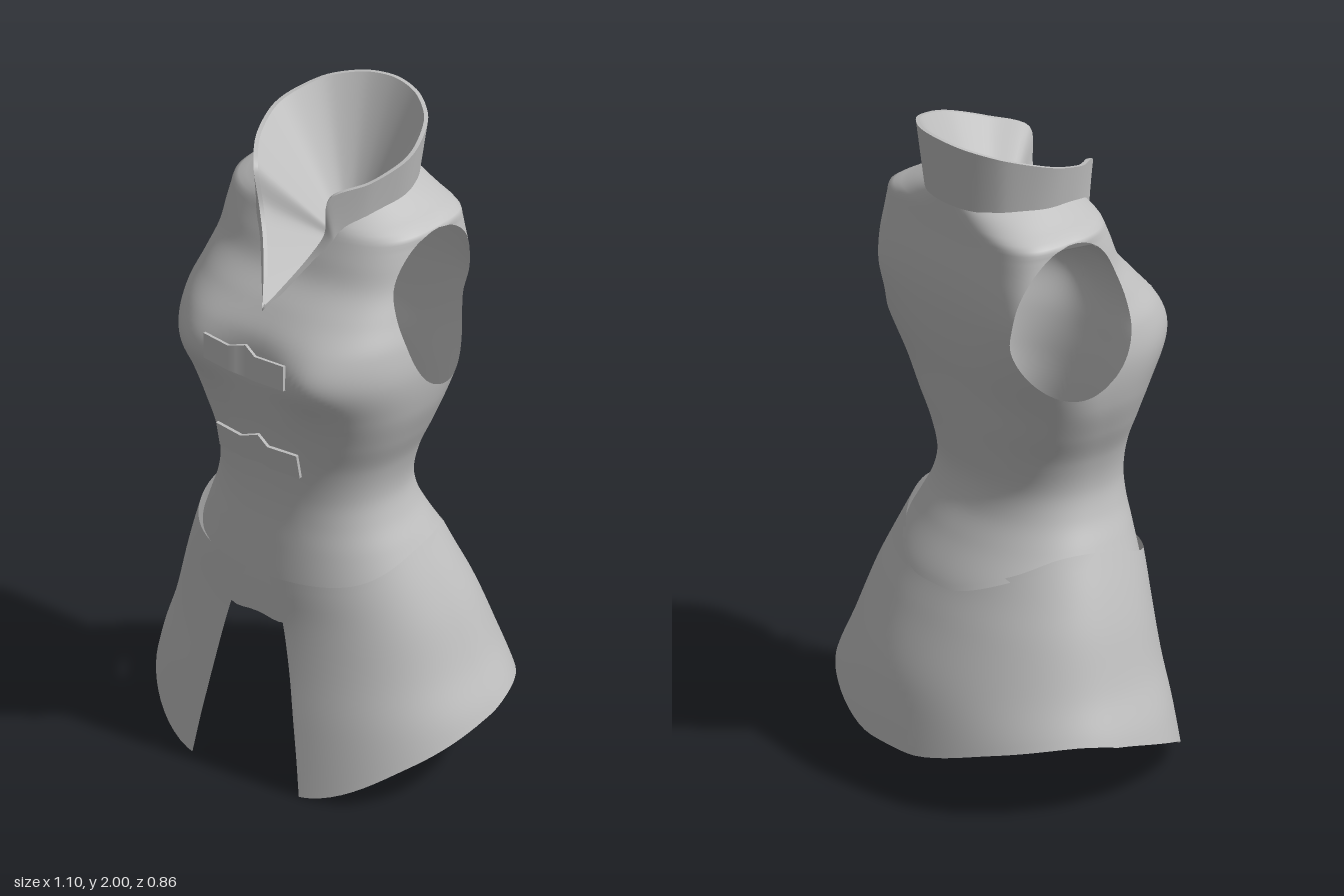
import * as THREE from 'three';
import { mergeVertices, mergeGeometries } from 'three/addons/utils/BufferGeometryUtils.js';

const cloth = new THREE.MeshStandardMaterial({ color: 0xc0c0c0, side: THREE.DoubleSide });
cloth.name = 'grey cloth';

const lerp = THREE.MathUtils.lerp;
const V = (x, y, z) => new THREE.Vector3(x, y, z);

// Smooth lookup in rows [key, value, value...]
function profile(rows, key, col = 1) {
  const last = rows.length - 1;
  if (key <= rows[0][0]) return rows[0][col];
  if (key >= rows[last][0]) return rows[last][col];
  let i = 0;
  while (rows[i + 1][0] < key) i++;
  const slope = (k) => {
    const a = rows[Math.max(k - 1, 0)], b = rows[Math.min(k + 1, last)];
    return (b[col] - a[col]) / (b[0] - a[0]);
  };
  const a = rows[i], b = rows[i + 1], h = b[0] - a[0], t = (key - a[0]) / h;
  const t2 = t * t, t3 = t2 * t;
  return (2 * t3 - 3 * t2 + 1) * a[col] + (t3 - 2 * t2 + t) * h * slope(i)
    + (3 * t2 - 2 * t3) * b[col] + (t3 - t2) * h * slope(i + 1);
}

// Surface point(u, v), trimmed to where keep(point) > 0
function surface(point, nu, nv, keep = () => 1) {
  const out = [];
  const grid = [];
  for (let i = 0; i <= nu; i++) {
    grid.push([]);
    for (let j = 0; j <= nv; j++) grid[i].push(point(i / nu, j / nv));
  }
  const addTriangle = (tri) => {
    const poly = [];
    tri.forEach((p, k) => {
      const q = tri[(k + 1) % 3], fp = keep(p), fq = keep(q);
      if (fp > 0) poly.push(p);
      if (fp > 0 !== fq > 0) poly.push(p.clone().lerp(q, fp / (fp - fq)));
    });
    for (let k = 2; k < poly.length; k++) {
      for (const p of [poly[0], poly[k - 1], poly[k]]) out.push(p.x, p.y, p.z);
    }
  };
  for (let i = 0; i < nu; i++) {
    for (let j = 0; j < nv; j++) {
      const a = grid[i][j], b = grid[i + 1][j], c = grid[i + 1][j + 1], d = grid[i][j + 1];
      addTriangle([a, b, c]);
      addTriangle([a, c, d]);
    }
  }
  const geo = new THREE.BufferGeometry();
  geo.setAttribute('position', new THREE.Float32BufferAttribute(out, 3));
  const merged = mergeVertices(geo, 1e-4);
  merged.computeVertexNormals();
  return merged;
}

// Point on a body ring: angle 0 is the front, a quarter turn is +x
// Rows: y, half width, front z, back z, z of widest point, front and back squareness
function ringPoint(rows, angle, y) {
  const [w, front, back, mid, nf, nb] = [1, 2, 3, 4, 5, 6].map((c) => profile(rows, y, c));
  const s = Math.sin(angle), c = Math.cos(angle), n = c > 0 ? nf : nb;
  const x = w * Math.sign(s) * Math.abs(s) ** (2 / n);
  const z = mid + ((c > 0 ? front : back) - mid) * Math.abs(c) ** (2 / n);
  return V(x, y, z);
}

const torsoRows = [
  [0.50, 0.415, 0.360, -0.300, 0.03, 2.3, 2.1],
  [0.62, 0.388, 0.350, -0.262, 0.04, 2.3, 2.1],
  [0.74, 0.338, 0.335, -0.190, 0.07, 2.3, 2.1],
  [0.82, 0.303, 0.325, -0.147, 0.09, 2.3, 2.2],
  [0.90, 0.288, 0.322, -0.130, 0.10, 2.3, 2.3],
  [1.00, 0.306, 0.328, -0.145, 0.09, 2.4, 2.3],
  [1.10, 0.347, 0.345, -0.165, 0.08, 2.5, 2.4],
  [1.20, 0.383, 0.368, -0.183, 0.06, 2.6, 2.5],
  [1.32, 0.403, 0.390, -0.210, 0.04, 2.8, 3.1],
  [1.42, 0.396, 0.376, -0.226, 0.02, 2.8, 4.0],
  [1.50, 0.374, 0.324, -0.233, 0.00, 2.8, 5.0],
  [1.58, 0.354, 0.258, -0.231, -0.02, 2.9, 5.0],
  [1.66, 0.343, 0.222, -0.222, -0.03, 3.0, 4.6],
  [1.70, 0.339, 0.205, -0.218, -0.04, 3.0, 4.2],
  [1.73, 0.335, 0.194, -0.216, -0.04, 2.8, 3.8],
  [1.755, 0.290, 0.183, -0.215, -0.04, 2.5, 3.0],
  [1.80, 0.212, 0.150, -0.213, -0.03, 2.1, 2.1],
];
const skirtRows = [
  [0.00, 0.600, 0.425, -0.460, -0.03, 2.3, 2.0],
  [0.22, 0.550, 0.398, -0.412, -0.03, 2.3, 2.0],
  [0.36, 0.495, 0.380, -0.372, -0.01, 2.3, 2.0],
  [0.52, 0.445, 0.363, -0.298, 0.02, 2.3, 2.1],
  [0.62, 0.408, 0.358, -0.248, 0.04, 2.3, 2.1],
  [0.74, 0.358, 0.348, -0.196, 0.07, 2.3, 2.1],
];
// Edge heights by turn: 0 front, 0.5 side, 1 back
const skirtTop = [[0, 0.64], [0.25, 0.665], [0.5, 0.735], [0.65, 0.735], [0.8, 0.68], [0.93, 0.63], [1, 0.625]];
const skirtHem = [[0, 0], [0.12, 0.01], [0.3, 0.13], [0.5, 0.22], [0.62, 0.24], [0.78, 0.21], [0.93, 0.153], [1, 0.15]];
const torsoHem = [[0, 0.515], [0.07, 0.515], [0.13, 0.62], [0.25, 0.65], [0.5, 0.715], [0.65, 0.715], [0.8, 0.66], [0.93, 0.613], [1, 0.61]];
// Half width of the openings by height
const neckV = [[1.49, 0], [1.53, 0.024], [1.64, 0.09], [1.71, 0.14], [1.8, 0.2]];
const slit = [[0, 0.2], [0.16, 0.172], [0.5, 0.1], [0.65, 0.04]];

const turn = (u) => 1 - Math.abs(2 * u - 1);

function torsoPoint(u, v) {
  const p = ringPoint(torsoRows, u * Math.PI * 2, lerp(profile(torsoHem, turn(u)), 1.8, v));
  // Bust
  if (p.z > 0) {
    const dx = (Math.abs(p.x) - 0.22) / 0.125, dy = (p.y - 1.33) / 0.11;
    p.z += 0.04 * Math.exp(-dx * dx - dy * dy) * Math.min(1, p.z / 0.2);
  }
  return p;
}

function torsoKeep(p) {
  const hole = Math.hypot((p.z + 0.028) / 0.187, (p.y - 1.485) / 0.237) - 1;
  const armhole = Math.max(hole, 0.15 - Math.abs(p.x));
  const neck = p.z > 0.05 && p.y > 1.49 ? Math.abs(p.x) - profile(neckV, p.y) : 1;
  return Math.min(armhole, neck);
}

function skirtPoint(u, v) {
  const y = lerp(profile(skirtHem, turn(u)), profile(skirtTop, turn(u)), v);
  return ringPoint(skirtRows, u * Math.PI * 2, y);
}

// Collar edges, listed from centre back to the bottom of the neck opening and mirrored
function edge(half) {
  const left = half.map((p) => V(...p)).reverse();
  const right = half.slice(1).map(([x, y, z]) => V(-x, y, z));
  return new THREE.CatmullRomCurve3([...left, ...right], false, 'catmullrom', 0.45);
}
const collarBase = edge([[0, 1.795, -0.228], [0.09, 1.793, -0.21], [0.17, 1.79, -0.15], [0.214, 1.785, -0.065],
  [0.222, 1.775, 0.01], [0.198, 1.755, 0.11], [0.155, 1.72, 0.18], [0.14, 1.695, 0.2],
  [0.1, 1.64, 0.23], [0.04, 1.54, 0.292], [0, 1.482, 0.336]]);
const collarTop = edge([[0, 2, -0.25], [0.1, 1.992, -0.23], [0.19, 1.972, -0.165], [0.24, 1.943, -0.07],
  [0.25, 1.918, 0.01], [0.215, 1.883, 0.115], [0.142, 1.847, 0.21], [0.122, 1.725, 0.208],
  [0.082, 1.64, 0.238], [0.03, 1.545, 0.297], [0, 1.492, 0.338]]);

// Collar edge pulled towards the neck by scale
function edgePoint(curve, u, scale = 1) {
  const p = curve.getPoint(u);
  p.x *= scale;
  p.z = (p.z + 0.02) * scale - 0.02;
  return p;
}

// Outer face and rim of the collar
const rimScale = 0.95;
function collarGeometry() {
  return mergeGeometries([
    surface((u, v) => edgePoint(collarBase, u).lerp(edgePoint(collarTop, u), v), 120, 6),
    surface((u, v) => edgePoint(collarTop, u, lerp(1, rimScale, v)), 120, 1),
  ]);
}

// Bow-shaped front clasp, bent to the chest
function claspGeometry() {
  const geo = new THREE.BoxGeometry(0.3, 0.08, 0.009, 12, 1, 1);
  const pos = geo.attributes.position;
  for (let i = 0; i < pos.count; i++) {
    const ax = Math.abs(pos.getX(i)), y = pos.getY(i);
    const bump = Math.max(0, 1 - ax / 0.05);
    pos.setY(i, y + Math.sign(y) * 0.012 * bump);
    pos.setZ(i, pos.getZ(i) - 0.018 * bump - Math.max(0, ax - 0.05) * 0.1);
  }
  geo.computeVertexNormals();
  return geo;
}

export function createModel() {
  const group = new THREE.Group();
  group.name = 'sleevelessJacket';
  const add = (name, geo) => {
    const mesh = new THREE.Mesh(geo, cloth);
    mesh.name = name;
    group.add(mesh);
    return mesh;
  };
  add('bodice', surface(torsoPoint, 128, 90, torsoKeep));
  add('skirt', surface(skirtPoint, 96, 24, (p) => (p.z > 0 ? Math.abs(p.x) - profile(slit, p.y) : 1)));
  add('collar', collarGeometry());

  // Lining that falls from the collar rim to a point inside the neck
  const tip = V(0, 1.54, -0.04);
  add('neckLining', surface((u, v) => edgePoint(collarTop, u, rimScale).lerp(tip, v), 120, 8));

  add('upperClasp', claspGeometry()).position.set(0, 1.352, 0.424);
  const lowerClasp = add('lowerClasp', claspGeometry());
  lowerClasp.position.set(0, 1.035, 0.36);
  lowerClasp.rotation.x = 0.2;
  return group;
}
